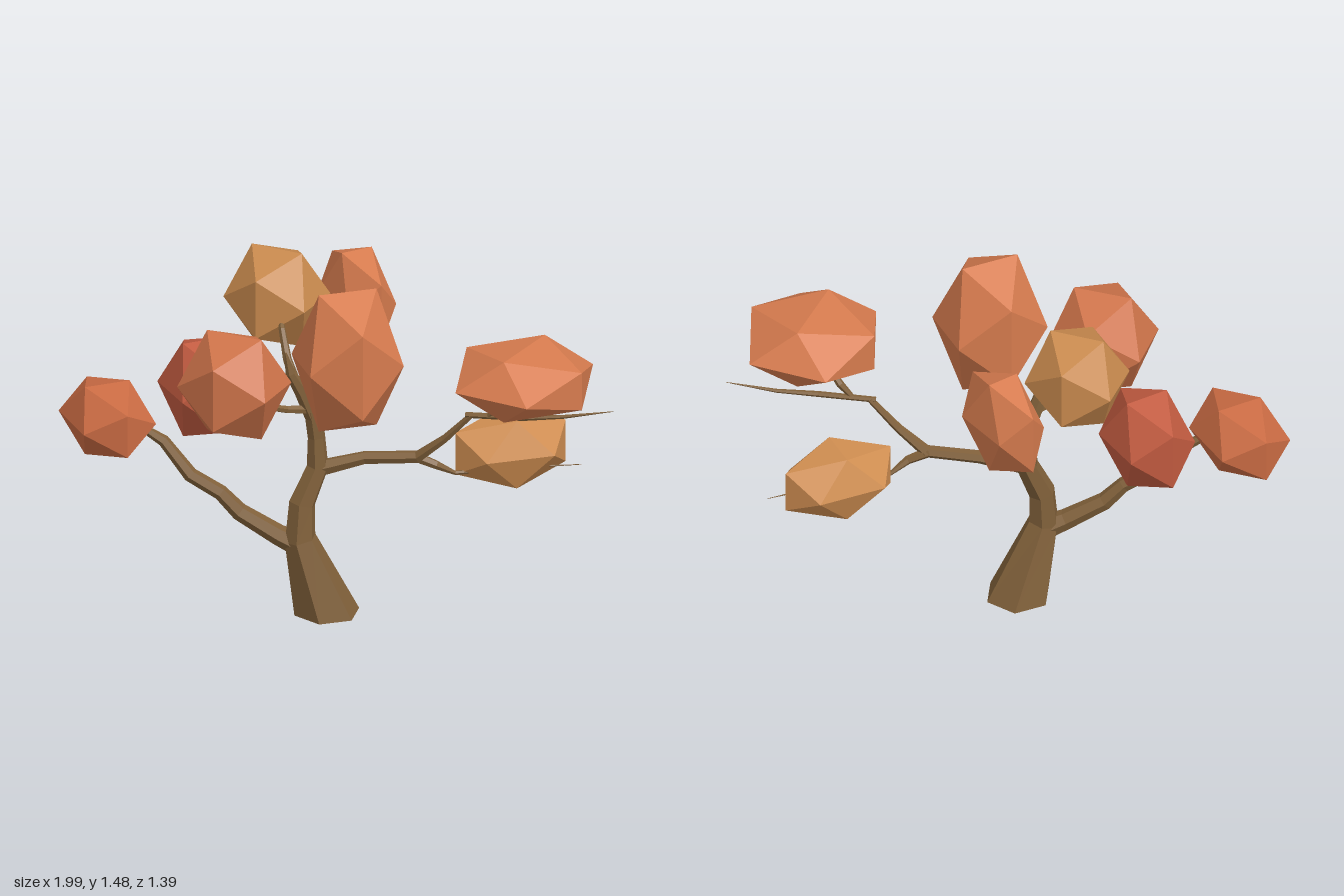
import * as THREE from 'three';

const mat = (color) => new THREE.MeshStandardMaterial({ color, flatShading: true });

// Tapered limb through points [x, y, z, radius]; rings follow the path
function limb(name, pts, material, sides = 6) {
  const P = pts.map(([x, y, z]) => new THREE.Vector3(x, y, z));
  const pos = [], idx = [];
  const q = new THREE.Quaternion();
  const prev = new THREE.Vector3(0, 1, 0);
  P.forEach((p, i) => {
    const t = P[Math.min(i + 1, P.length - 1)].clone().sub(P[Math.max(i - 1, 0)]).normalize();
    if (i === 0 && p.y === 0) t.set(0, 1, 0); // flat foot on the ground
    q.premultiply(new THREE.Quaternion().setFromUnitVectors(prev, t));
    prev.copy(t);
    for (let s = 0; s < sides; s++) {
      const a = (s / sides) * Math.PI * 2;
      const v = new THREE.Vector3(Math.cos(a), 0, Math.sin(a)).multiplyScalar(pts[i][3]).applyQuaternion(q).add(p);
      pos.push(v.x, v.y, v.z);
    }
    if (i > 0) for (let s = 0; s < sides; s++) {
      const a = (i - 1) * sides + s, b = (i - 1) * sides + (s + 1) % sides;
      idx.push(a, a + sides, b, b, a + sides, b + sides);
    }
  });
  // End caps
  const last = (P.length - 1) * sides;
  for (let s = 1; s < sides - 1; s++) {
    idx.push(0, s, s + 1, last, last + s + 1, last + s);
  }
  const g = new THREE.BufferGeometry();
  g.setAttribute('position', new THREE.Float32BufferAttribute(pos, 3));
  g.setIndex(idx);
  const flat = g.toNonIndexed();
  flat.computeVertexNormals();
  const mesh = new THREE.Mesh(flat, material);
  mesh.name = name;
  return mesh;
}

// Leaf clump: icosahedron stretched to half sizes, then turned about y
function clump(name, color, [x, y, z], [hx, hy, hz], turn) {
  const g = new THREE.IcosahedronGeometry(1 / 0.85065, 0);
  g.scale(hx, hy, hz).rotateY(turn).translate(x, y, z);
  g.computeVertexNormals();
  const mesh = new THREE.Mesh(g, mat(color));
  mesh.name = name;
  return mesh;
}

export function createModel() {
  const tree = new THREE.Group();
  tree.name = 'autumnTree';
  const bark = mat(0x80603a);

  // Trunk and branches
  const limbs = {
    trunk: [[-0.04, 0, -0.08, 0.135], [-0.15, 0.33, -0.085, 0.065], [-0.14, 0.48, -0.09, 0.055],
      [-0.075, 0.63, -0.09, 0.046], [-0.08, 0.76, -0.09, 0.036], [-0.095, 0.88, -0.09, 0.036]],
    lowRightBranch: [[-0.15, 0.3, -0.09, 0.05], [-0.23, 0.34, -0.125, 0.042], [-0.37, 0.43, -0.19, 0.036],
      [-0.44, 0.51, -0.22, 0.031], [-0.55, 0.58, -0.27, 0.03], [-0.64, 0.71, -0.34, 0.024], [-0.76, 0.79, -0.4, 0.012]],
    leftBranch: [[-0.08, 0.62, -0.09, 0.035], [0.1, 0.675, -0.02, 0.027], [0.29, 0.695, 0.08, 0.026],
      [0.38, 0.79, 0.15, 0.018], [0.47, 0.91, 0.22, 0.013]],
    lowLeftTwig: [[0.28, 0.695, 0.07, 0.022], [0.36, 0.66, 0.1, 0.018], [0.44, 0.615, 0.1, 0.009],
      [0.7, 0.62, 0.13, 0.007], [0.95, 0.61, 0.155, 0.001]],
    longLeftTwig: [[0.45, 0.91, 0.21, 0.012], [0.65, 0.92, 0.33, 0.012], [0.8, 0.935, 0.4, 0.008], [0.98, 0.972, 0.49, 0.001]],
    upperLeftTwig: [[0.53, 0.915, 0.26, 0.01], [0.57, 0.97, 0.29, 0.016], [0.61, 1.06, 0.36, 0.01]],
    topRightBranch: [[-0.09, 0.84, -0.09, 0.034], [-0.14, 0.96, -0.09, 0.03], [-0.19, 1.05, -0.085, 0.022], [-0.21, 1.14, -0.085, 0.004]],
    backBranch: [[-0.16, 0.99, -0.1, 0.022], [-0.18, 1.08, -0.16, 0.018], [-0.18, 1.18, -0.23, 0.014], [-0.16, 1.25, -0.34, 0.006]],
    backLeftBranch: [[-0.1, 0.86, -0.09, 0.026], [0, 0.98, -0.12, 0.015], [0.12, 1.12, -0.2, 0.01], [0.21, 1.23, -0.3, 0.004]],
    frontBranch: [[-0.09, 0.85, -0.09, 0.028], [-0.06, 0.95, -0.03, 0.022], [-0.03, 1.08, 0.1, 0.008]],
    rightTwig: [[-0.1, 0.88, -0.09, 0.02], [-0.21, 0.9, -0.075, 0.016], [-0.31, 0.935, -0.05, 0.013], [-0.41, 1.02, -0.01, 0.005]],
  };
  for (const [name, pts] of Object.entries(limbs)) tree.add(limb(name, pts, bark));

  // Leaf clumps: name, colour, centre, half sizes, turn
  const clumps = [
    ['lowRightLeaves', 0xca6b43, [-0.84, 0.79, -0.455], [0.155, 0.145, 0.22], 0.08],
    ['frontRightLeaves', 0xcf744a, [-0.455, 1.075, 0.015], [0.195, 0.215, 0.195], -0.75],
    ['backRightLeaves', 0xc25b40, [-0.44, 0.88, -0.44], [0.15, 0.2, 0.2], 0.12],
    ['topBackLeaves', 0xc98a4e, [-0.145, 1.25, -0.415], [0.182, 0.2, 0.182], -0.78],
    ['topFrontLeaves', 0xd67b4e, [-0.025, 1.185, 0.155], [0.195, 0.295, 0.205], 0],
    ['backLeftLeaves', 0xd67b4e, [0.205, 1.17, -0.47], [0.11, 0.208, 0.205], 0.2],
    ['upperLeftLeaves', 0xd67b4e, [0.63, 1.13, 0.42], [0.265, 0.13, 0.265], 0.75],
    ['lowLeftLeaves', 0xd08e51, [0.68, 0.685, 0.07], [0.14, 0.145, 0.23], Math.PI / 2],
  ];
  for (const c of clumps) tree.add(clump(...c));
  return tree;
}
